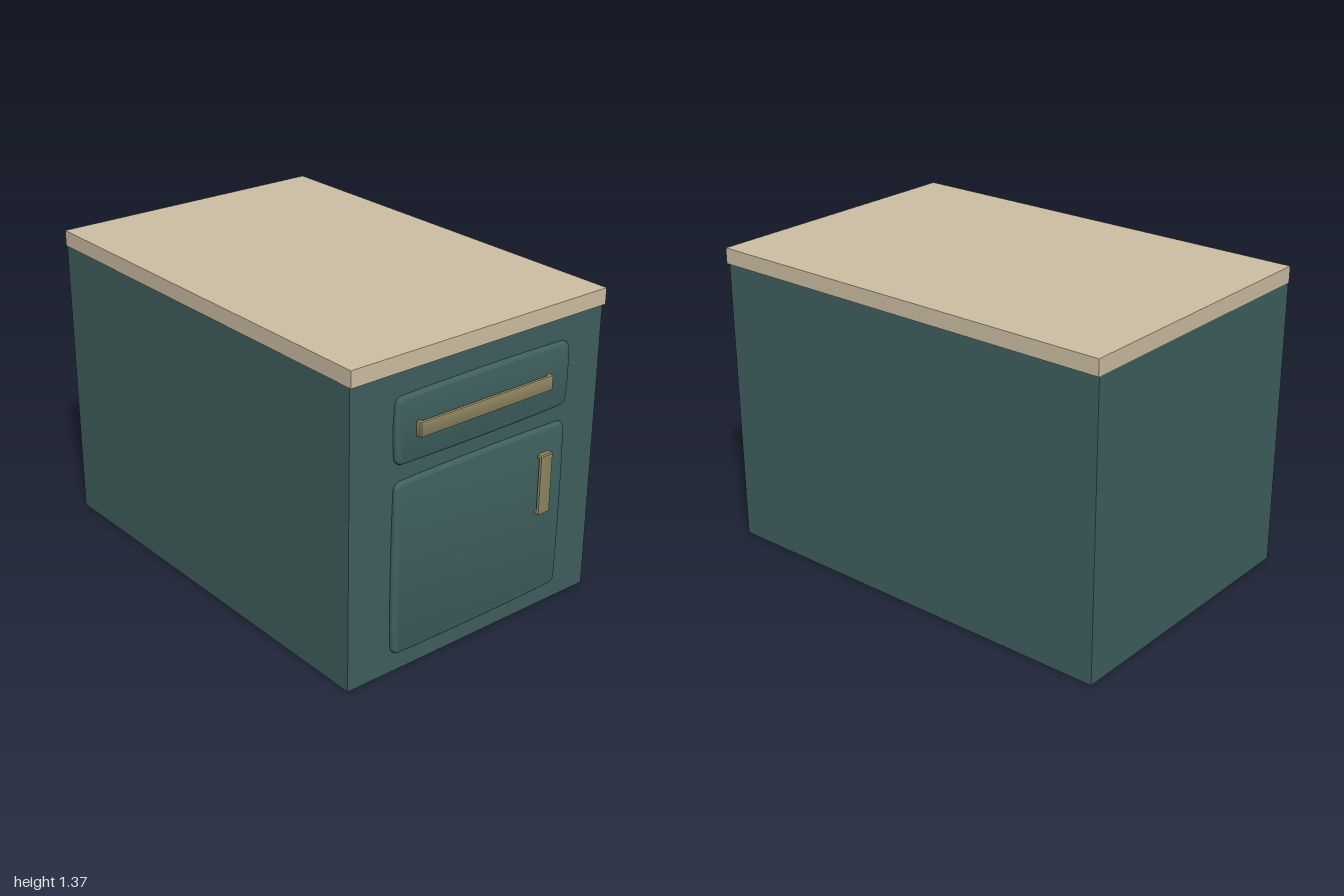
import * as THREE from 'three';
import { toCreasedNormals } from 'three/addons/utils/BufferGeometryUtils.js';

const teal = new THREE.MeshStandardMaterial({ color: 0x3f605f });
const wood = new THREE.MeshStandardMaterial({ color: 0xcfc0a4 });
const brass = new THREE.MeshStandardMaterial({ color: 0x8f8661 });

function add(parent, name, geometry, material, x, y, z) {
  const mesh = new THREE.Mesh(geometry, material);
  mesh.name = name;
  mesh.position.set(x, y, z);
  parent.add(mesh);
  return mesh;
}

// Rounded panel with slightly bowed edges and a soft, pillowed rim
function panelGeometry(width, height) {
  const bevel = 0.018, r = 0.02, bow = 0.005;
  const w = width / 2 - bevel - bow, h = height / 2 - bevel - bow;
  const s = new THREE.Shape();
  s.moveTo(-w + r, -h);
  s.quadraticCurveTo(0, -h - 2 * bow, w - r, -h);
  s.quadraticCurveTo(w, -h, w, -h + r);
  s.quadraticCurveTo(w + 2 * bow, 0, w, h - r);
  s.quadraticCurveTo(w, h, w - r, h);
  s.quadraticCurveTo(0, h + 2 * bow, -w + r, h);
  s.quadraticCurveTo(-w, h, -w, h - r);
  s.quadraticCurveTo(-w - 2 * bow, 0, -w, -h + r);
  s.quadraticCurveTo(-w, -h, -w + r, -h);
  const g = new THREE.ExtrudeGeometry(s, {
    depth: 0.01, bevelSize: bevel, bevelThickness: 0.018, bevelSegments: 5, curveSegments: 8,
  });
  return toCreasedNormals(g, 0.6);
}

// Bracket pull: a flat bar on two short feet, lying along x and projecting to +z
function handleGeometry(length, width) {
  const l = length / 2, reach = 0.03, bar = 0.016, foot = 0.02, c = 0.005, b = 0.006;
  const s = new THREE.Shape();
  [[-l, 0], [-l + foot, 0], [-l + foot, reach - bar], [l - foot, reach - bar], [l - foot, 0],
    [l, 0], [l, reach - c], [l - c, reach], [-l + c, reach], [-l, reach - c]]
    .forEach(([x, y], i) => (i ? s.lineTo(x, y) : s.moveTo(x, y)));
  const g = new THREE.ExtrudeGeometry(s, {
    depth: width - 2 * b, bevelSize: b, bevelOffset: -b, bevelThickness: b, bevelSegments: 2,
  });
  g.translate(0, 0, -(width - 2 * b) / 2);
  g.rotateX(Math.PI / 2);
  return toCreasedNormals(g, 0.5);
}

export function createModel() {
  const model = new THREE.Group();
  model.name = 'cabinet';

  // Carcass and worktop, flush at the back
  add(model, 'body', new THREE.BoxGeometry(1.31, 1.295, 1.955), teal, 0, 0.6475, -0.0225);
  add(model, 'worktop', new THREE.BoxGeometry(1.32, 0.07, 1.967), wood, 0, 1.33, -0.0165);

  // Drawer front and door
  add(model, 'drawerFront', panelGeometry(0.915, 0.29), teal, 0.01, 1.054, 0.948);
  add(model, 'door', panelGeometry(0.915, 0.77), teal, 0.01, 0.463, 0.948);

  // Pulls
  add(model, 'drawerHandle', handleGeometry(0.70, 0.065), brass, 0, 1.05, 0.97);
  add(model, 'doorHandle', handleGeometry(0.272, 0.065), brass, 0.343, 0.6, 0.97).rotation.z = Math.PI / 2;

  return model;
}
